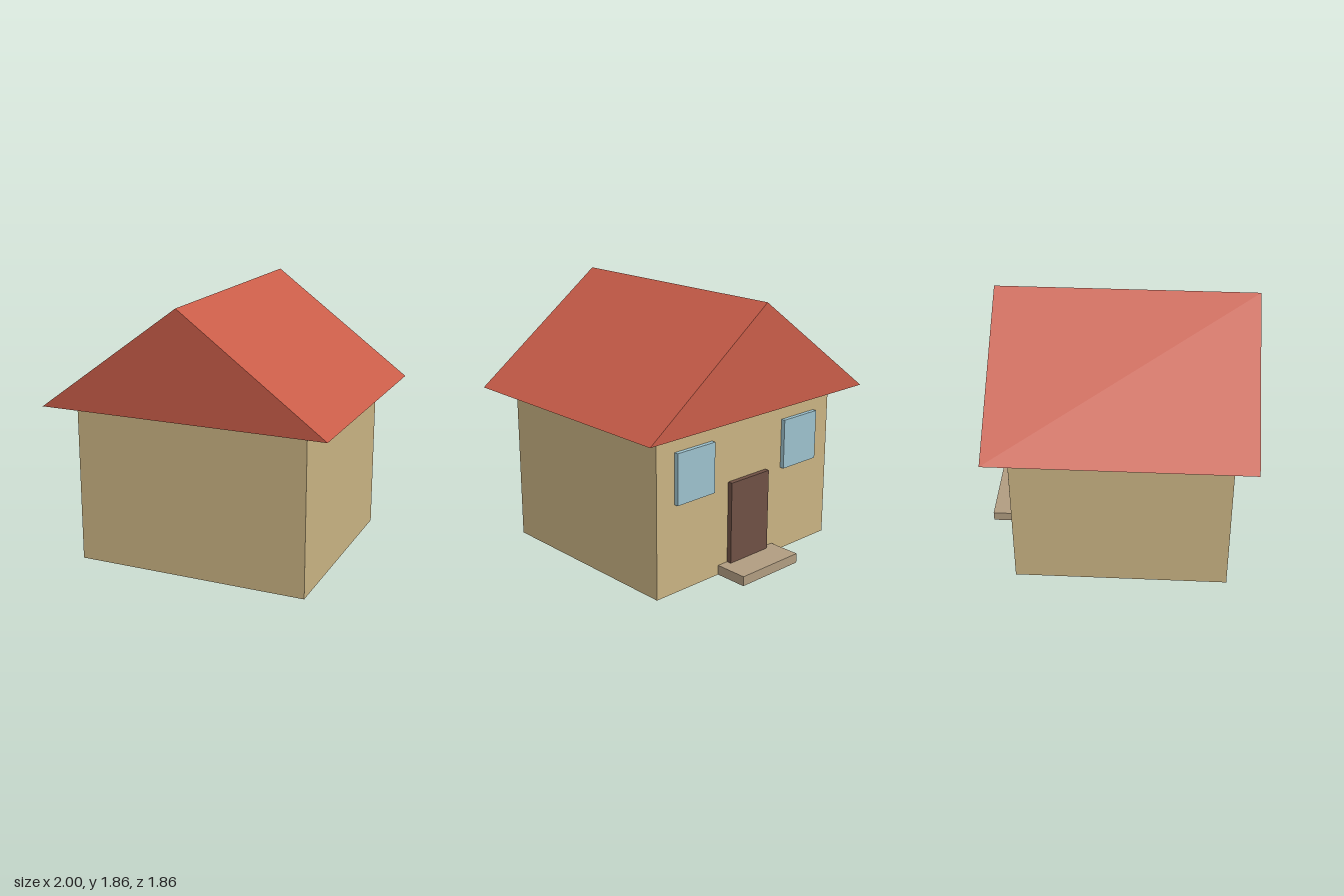
import * as THREE from 'three';

const material = (name, color) => {
  const m = new THREE.MeshStandardMaterial({ color });
  m.name = name;
  return m;
};

export function createModel() {
  const house = new THREE.Group();
  house.name = 'house';

  const plaster = material('sand plaster', 0xc8b282);
  const tile = material('red roof', 0xc85c48);
  const wood = material('brown door', 0x6e5044);
  const glass = material('blue glass', 0x9cc0cc);
  const stone = material('grey brown stone', 0xb09c80);

  // Box given by its lower and upper limits on each axis
  const addBox = (name, mat, [x0, x1], [y0, y1], [z0, z1]) => {
    const mesh = new THREE.Mesh(new THREE.BoxGeometry(x1 - x0, y1 - y0, z1 - z0), mat);
    mesh.position.set((x0 + x1) / 2, (y0 + y1) / 2, (z0 + z1) / 2);
    mesh.name = name;
    house.add(mesh);
  };

  const eaves = 1.12;
  const backWall = -0.692;

  addBox('walls', plaster, [-0.82, 0.82], [0, eaves], [backWall, 0.784]);

  // Solid gable roof, overhanging on every side
  const gable = new THREE.Shape([
    new THREE.Vector2(-1, eaves),
    new THREE.Vector2(1, eaves),
    new THREE.Vector2(0, 1.855),
  ]);
  const roof = new THREE.Mesh(
    new THREE.ExtrudeGeometry(gable, { depth: 1.768, bevelEnabled: false }),
    tile
  );
  roof.position.z = -0.84;
  roof.name = 'roof';
  house.add(roof);

  // Entrance
  addBox('door', wood, [-0.18, 0.18], [0.005, 0.648], [-0.727, backWall]);
  addBox('doorstep', stone, [-0.265, 0.265], [0, 0.068], [-0.928, backWall]);

  // Windows on both sides of the door
  for (const [name, x] of [['leftWindow', 0.5], ['rightWindow', -0.5]]) {
    addBox(name, glass, [x - 0.165, x + 0.165], [0.62, 0.972], [-0.722, backWall]);
  }

  return house;
}
